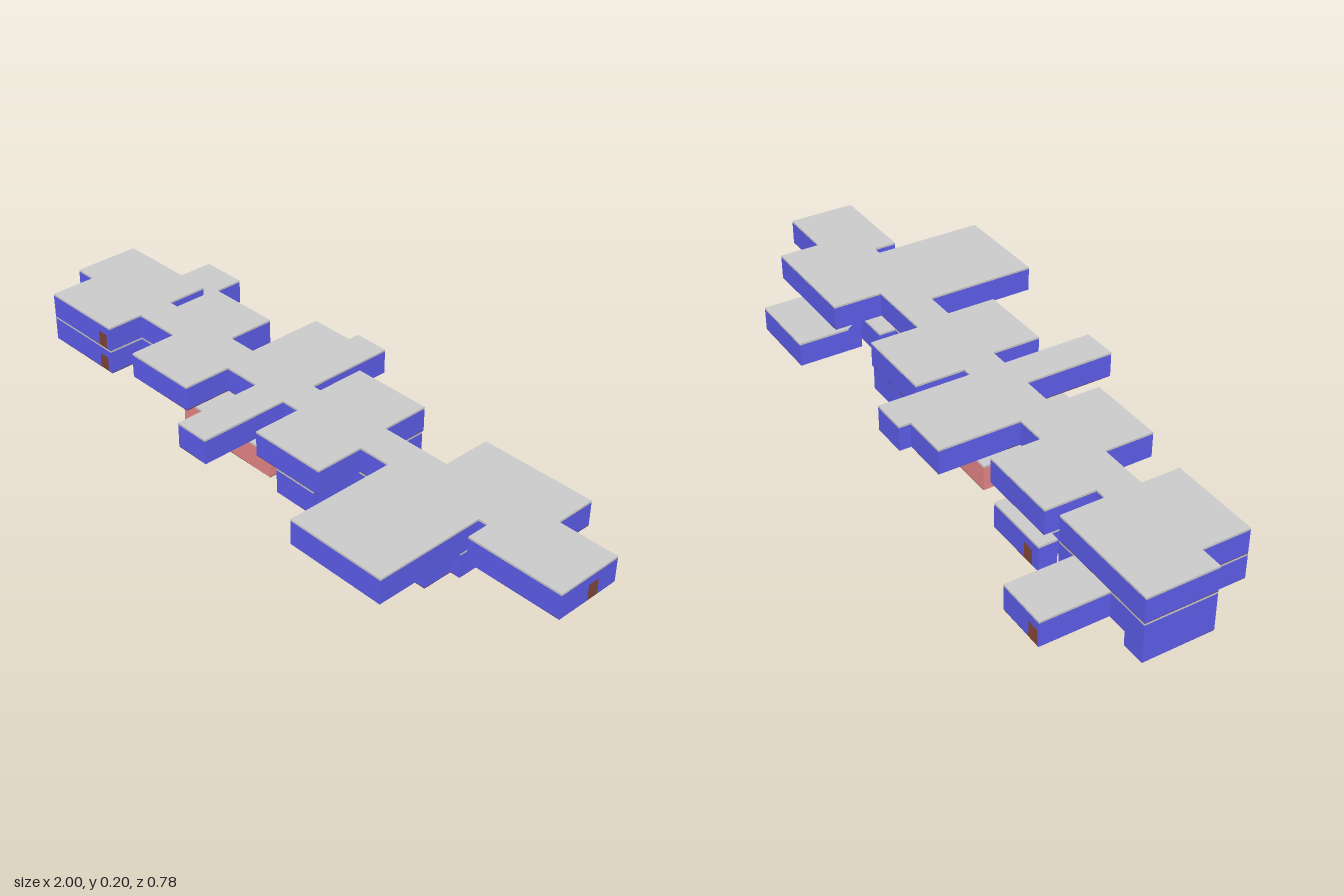
import * as THREE from 'three';
import { mergeGeometries } from 'three/addons/utils/BufferGeometryUtils.js';

const mat = (color, side = THREE.FrontSide) => new THREE.MeshStandardMaterial({ color, side, flatShading: true });
const roofMat = mat(0xcccccc);
const floorMat = mat(0x6b3a2e);
const blueMat = mat(0x5f5fee, THREE.DoubleSide);
const pinkMat = mat(0xe88888, THREE.DoubleSide);
const DOOR_W = 0.036, DOOR_H = 0.047, ROOF = 0.006, FLOOR = 0.002;

// Horizontal slab over a plan outline of [x, z] corners
function slab(outline, y, thickness, material, name) {
  const shape = new THREE.Shape(outline.map(([x, z]) => new THREE.Vector2(x, -z)));
  const geo = new THREE.ExtrudeGeometry(shape, { depth: thickness, bevelEnabled: false });
  geo.rotateX(-Math.PI / 2).translate(0, y, 0);
  const mesh = new THREE.Mesh(geo, material);
  mesh.name = name;
  return mesh;
}

// Upright wall from a to b, with door openings cut up from the floor
function wall([ax, az], [bx, bz], y0, y1, doors) {
  const dir = new THREE.Vector3(bx - ax, 0, bz - az);
  const len = dir.length();
  dir.normalize();
  const pts = [[0, y0]];
  doors
    .map(([x, z]) => ({
      s: (x - ax) * dir.x + (z - az) * dir.z,
      off: Math.abs((x - ax) * dir.z - (z - az) * dir.x),
    }))
    .filter(({ s, off }) => off < 0.001 && s > DOOR_W / 2 && s < len - DOOR_W / 2)
    .sort((p, q) => p.s - q.s)
    .forEach(({ s }) => {
      const l = s - DOOR_W / 2, r = s + DOOR_W / 2;
      pts.push([l, y0], [l, y0 + DOOR_H], [r, y0 + DOOR_H], [r, y0]);
    });
  pts.push([len, y0], [len, y1], [0, y1]);
  const geo = new THREE.ShapeGeometry(new THREE.Shape(pts.map(p => new THREE.Vector2(...p))));
  const up = new THREE.Vector3(0, 1, 0);
  const basis = new THREE.Matrix4().makeBasis(dir, up, dir.clone().cross(up));
  return geo.applyMatrix4(basis.setPosition(ax, 0, az));
}

// One hollow storey: floor, outer walls and flat roof
function storey(name, outline, y0, y1, doors = [], isPink = () => false) {
  const group = new THREE.Group();
  group.name = name;
  const blue = [], pink = [];
  outline.forEach((a, i) => {
    const b = outline[(i + 1) % outline.length];
    const list = isPink((a[0] + b[0]) / 2, (a[1] + b[1]) / 2) ? pink : blue;
    list.push(wall(a, b, y0, y1 - ROOF, doors));
  });
  const addWalls = (list, material, label) => {
    if (!list.length) return;
    const mesh = new THREE.Mesh(mergeGeometries(list), material);
    mesh.name = label;
    group.add(mesh);
  };
  addWalls(blue, blueMat, 'outerWalls');
  addWalls(pink, pinkMat, 'hallWalls');
  group.add(slab(outline, y0, FLOOR, floorMat, 'floor'));
  group.add(slab(outline, y1 - ROOF, ROOF, roofMat, 'roof'));
  return group;
}

const rect = (x0, x1, z0, z1) => [[x0, z0], [x1, z0], [x1, z1], [x0, z1]];

// Plans: along the back from -x to +x, then along the front back to -x
const upperPlan = [
  [-1, -0.19], [-0.655, -0.19], [-0.655, -0.06], [-0.62, -0.06], [-0.62, -0.21], [-0.375, -0.21],
  [-0.375, -0.06], [-0.28, -0.06], [-0.28, -0.305], [-0.14, -0.305], [-0.14, -0.34], [-0.03, -0.34],
  [-0.03, -0.06], [0, -0.06], [0, -0.21], [0.25, -0.21], [0.25, -0.06], [0.47, -0.06],
  [0.47, -0.21], [0.82, -0.21], [0.82, -0.085], [1, -0.085], [1, 0.12], [0.71, 0.12],
  [0.71, 0.05], [0.68, 0.05], [0.68, 0.387], [0.37, 0.387], [0.37, 0.05], [0.27, 0.05],
  [0.27, 0.2], [0.03, 0.2], [0.03, 0.05], [-0.03, 0.05], [-0.03, 0.325], [-0.14, 0.325],
  [-0.14, 0.05], [-0.26, 0.05], [-0.26, 0.2], [-0.5, 0.2], [-0.5, 0.05], [-0.655, 0.05],
  [-0.655, 0.165], [-0.93, 0.165], [-0.93, 0.02], [-1, 0.02],
];
const lowerPlan = [
  [-0.93, -0.19], [-0.87, -0.19], [-0.87, -0.388], [-0.72, -0.388], [-0.72, -0.19], [-0.655, -0.19],
  [-0.655, -0.06], [-0.62, -0.06], [-0.62, -0.19], [-0.65, -0.19], [-0.65, -0.245], [-0.45, -0.245],
  [-0.45, -0.06], [-0.31, -0.06], [-0.31, -0.19], [-0.14, -0.19], [-0.03, -0.19], [-0.03, -0.06],
  [0, -0.06], [0, -0.205], [0.25, -0.205], [0.25, -0.06], [0.385, -0.06], [0.385, -0.113],
  [0.68, -0.113], [0.68, 0.107], [0.65, 0.107], [0.65, 0.2], [0.53, 0.2], [0.53, 0.107],
  [0.38, 0.107], [0.38, 0.05], [0.25, 0.05], [0.25, 0.2], [0.11, 0.2], [0.11, 0.05],
  [0.05, 0.05], [0.05, 0.17], [-0.31, 0.17], [-0.31, 0.05], [-0.655, 0.05], [-0.655, 0.165],
  [-0.93, 0.165],
];

// Sloping stair passage from the lower storey down to the sunken wing
function stairLink() {
  const group = new THREE.Group();
  group.name = 'stairLink';
  const profile = [[0.113, 0.015], [0.155, 0.015], [0.155, 0.09], [0.113, 0.12]];
  const shape = new THREE.Shape(profile.map(p => new THREE.Vector2(...p)));
  const geo = new THREE.ExtrudeGeometry(shape, { depth: 0.06, bevelEnabled: false });
  geo.rotateY(Math.PI / 2).translate(0.5, 0, 0);
  // caps are the blue side walls, the rim is the grey roof and front
  const body = new THREE.Mesh(geo, [blueMat, roofMat]);
  body.name = 'stairPassage';
  group.add(body);
  return group;
}

export function createModel() {
  const model = new THREE.Group();
  model.name = 'building';
  model.add(storey('upperStorey', upperPlan, 0.12, 0.197, [[-0.69, 0.165], [1, 0], [-0.03, -0.215]]));
  const lowerDoors = [
    [-0.69, 0.165], [-0.515, 0.05], [-0.345, 0.05], [0.35, 0.05], [-0.605, -0.245], [-0.845, -0.388],
  ];
  const inHall = (x, z) => x >= -0.311 && x <= 0.051 && (z > 0.051 || x < -0.15);
  model.add(storey('lowerStorey', lowerPlan, 0.043, 0.12, lowerDoors, inHall));
  model.add(storey('stairTower', rect(-1, -0.93, -0.19, 0.02), 0, 0.12));
  model.add(storey('sunkenWing', rect(0.5, 0.735, -0.313, -0.155), 0.015, 0.09));
  model.add(stairLink());
  return model;
}
